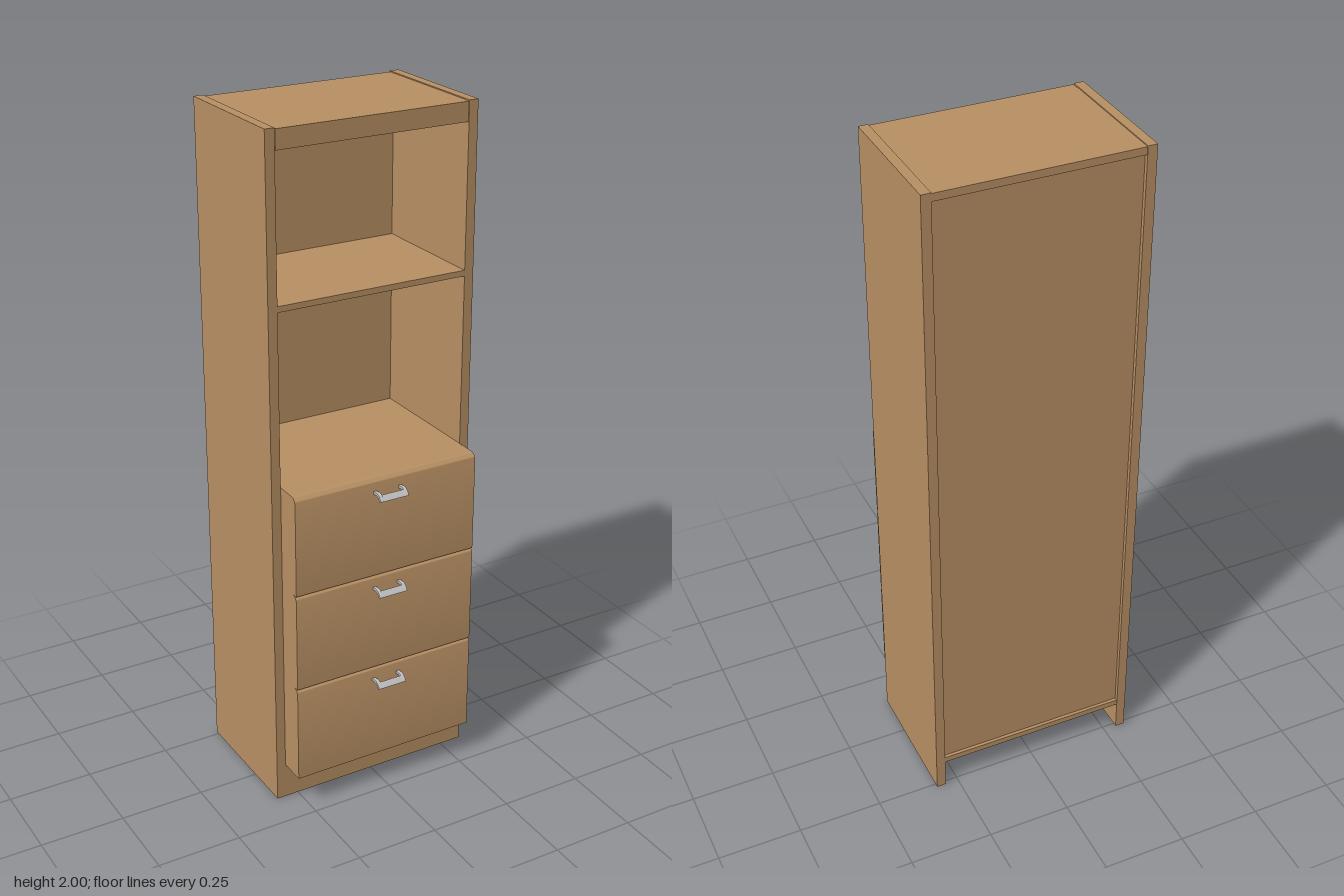
import * as THREE from 'three';
import { toCreasedNormals } from 'three/addons/utils/BufferGeometryUtils.js';

const wood = new THREE.MeshStandardMaterial({ color: 0xb89064 });
wood.name = 'wood';
const grey = new THREE.MeshStandardMaterial({ color: 0xc4c4c4 });
grey.name = 'grey metal';

const INNER = 0.29, OUTER = 0.318, BACK = -0.262, FRONT = 0.141;

// Box given by its limits on each axis
function panel(name, x0, x1, y0, y1, z0, z1, material = wood) {
  const mesh = new THREE.Mesh(new THREE.BoxGeometry(x1 - x0, y1 - y0, z1 - z0), material);
  mesh.position.set((x0 + x1) / 2, (y0 + y1) / 2, (z0 + z1) / 2);
  mesh.name = name;
  return mesh;
}

// Extrudes a side profile (drawn as z, y) across x from x0 to x1
function sweepX(name, shape, x0, x1, material) {
  const geo = new THREE.ExtrudeGeometry(shape, { depth: x1 - x0, bevelEnabled: false, curveSegments: 10 });
  geo.rotateY(-Math.PI / 2); // profile x -> +z, depth -> -x
  geo.translate(x1, 0, 0);
  const mesh = new THREE.Mesh(toCreasedNormals(geo, 0.6), material);
  mesh.name = name;
  return mesh;
}

// Drawer front with a rounded upper front edge
function drawerFront() {
  const h = 0.3, z = 0.222, r = 0.02;
  const s = new THREE.Shape();
  s.moveTo(FRONT, 0);
  s.lineTo(z, 0);
  s.lineTo(z, h - r);
  s.absarc(z - r, h - r, r, 0, Math.PI / 2, false);
  s.lineTo(FRONT, h);
  s.closePath();
  return sweepX('drawerFront', s, -INNER, INNER, wood);
}

// Pull with two arms and a drooping grip bar
function handle() {
  const g = new THREE.Group();
  g.name = 'handle';
  const arm = new THREE.Shape();
  arm.moveTo(0.221, 0.855 - 0.6);
  arm.lineTo(0.236, 0.257);
  arm.quadraticCurveTo(0.248, 0.256, 0.255, 0.243);
  arm.lineTo(0.262, 0.246);
  arm.quadraticCurveTo(0.254, 0.264, 0.238, 0.265);
  arm.lineTo(0.221, 0.263);
  arm.closePath();
  for (const s of [-1, 1]) g.add(sweepX('handleArm', arm, s * 0.04 - 0.005, s * 0.04 + 0.005, grey));
  const bar = new THREE.Shape();
  bar.moveTo(0.246, 0.253);
  bar.lineTo(0.255, 0.243);
  bar.lineTo(0.262, 0.246);
  bar.quadraticCurveTo(0.257, 0.257, 0.25, 0.262);
  bar.closePath();
  g.add(sweepX('handleGrip', bar, -0.036, 0.036, grey));
  return g;
}

export function createModel() {
  const model = new THREE.Group();
  model.name = 'drawerBookcase';

  // Carcass
  model.add(
    panel('leftSide', INNER, OUTER, 0, 2, BACK, FRONT),
    panel('rightSide', -OUTER, -INNER, 0, 2, BACK, FRONT),
    panel('topPanel', -INNER, INNER, 1.975, 1.997, -0.26, 0.121),
    panel('topRail', -0.288, 0.288, 1.942, 1.997, 0.121, FRONT),
    panel('backPanel', -INNER, INNER, 0.11, 1.975, -0.25, -0.24),
    panel('plinth', -INNER, INNER, 0, 0.11, 0.12, FRONT),
    panel('bottomPanel', -INNER, INNER, 0.092, 0.11, -0.26, 0.12),
    panel('undersidePlate', -INNER, INNER, 0.09, 0.092, -0.14, 0.12, grey)
  );

  // Open shelves
  model.add(
    panel('shelf', -INNER, INNER, 1.513, 1.53, -0.24, 0.14),
    panel('drawerDeck', -INNER, INNER, 0.99, 1.01, -0.24, FRONT)
  );

  // Three stacked drawers
  for (let i = 0; i < 3; i++) {
    const drawer = new THREE.Group();
    drawer.name = 'drawer';
    drawer.add(drawerFront(), handle());
    drawer.position.y = 0.11 + i * 0.3;
    model.add(drawer);
  }
  return model;
}
